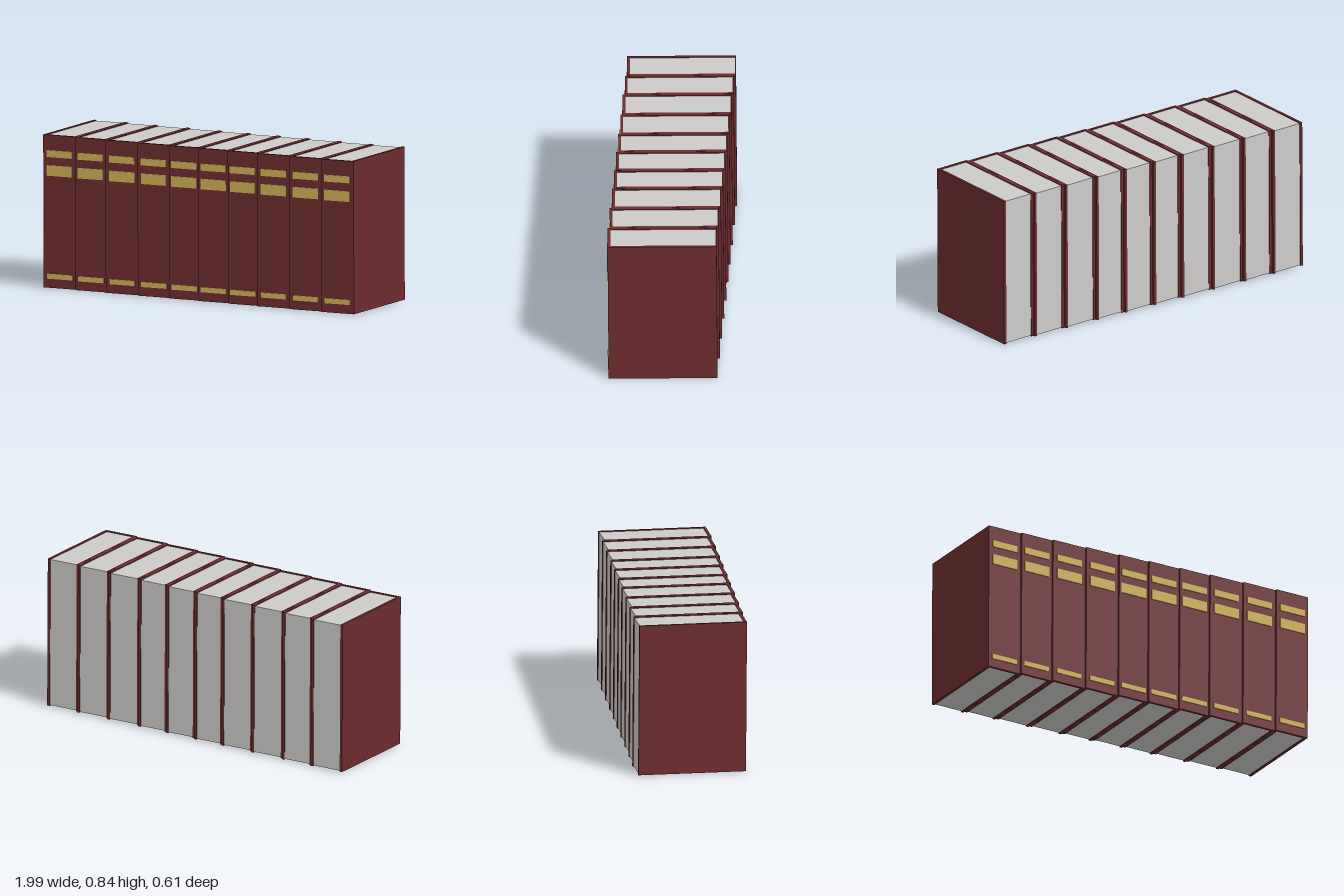
import * as THREE from 'three';

const material = (name, color) => {
  const m = new THREE.MeshStandardMaterial({ color });
  m.name = name;
  return m;
};

const HEIGHT = 0.834, DEPTH = 0.588, COVER = 0.015, RECESS = 0.004;
const YAW = 0.062, PITCH = 0.007;

// Where the spines meet along the front of the row
const SEAMS = [-0.965, -0.764, -0.573, -0.37, -0.17, 0.012, 0.2, 0.384, 0.587, 0.788, 0.988];

// Gilt bands on a spine: [centre height, band height]
const BANDS = [[0.735, 0.038], [0.643, 0.058], [0.066, 0.028]];

export function createModel() {
  const leather = material('dark red leather', 0x6d2c2f);
  const paper = material('paper', 0xcccbc9);
  const gilt = material('gilt', 0xcdb056);

  const box = (parent, name, mat, size, pos) => {
    const mesh = new THREE.Mesh(new THREE.BoxGeometry(...size), mat);
    mesh.name = name;
    mesh.position.set(...pos);
    parent.add(mesh);
  };

  // One upright book, centred on its own origin
  const makeBook = (width) => {
    const book = new THREE.Group();
    const side = (width - COVER) / 2;
    box(book, 'leftCover', leather, [COVER, HEIGHT, DEPTH], [side, 0, 0]);
    box(book, 'rightCover', leather, [COVER, HEIGHT, DEPTH], [-side, 0, 0]);
    box(book, 'spine', leather, [width - 2 * COVER, HEIGHT, COVER], [0, 0, (DEPTH - COVER) / 2]);
    box(book, 'pages', paper,
      [width - 2 * COVER, HEIGHT - 2 * RECESS, DEPTH - COVER - RECESS],
      [0, 0, (RECESS - COVER) / 2]);
    for (const [y, h] of BANDS) {
      box(book, 'spineBand', gilt, [0.155, h, 0.006], [0, y - 0.42, DEPTH / 2 + 0.001]);
    }
    return book;
  };

  const model = new THREE.Group();
  model.name = 'bookRow';
  for (let i = 0; i < SEAMS.length - 1; i++) {
    const book = makeBook(SEAMS[i + 1] - SEAMS[i] - 0.001);
    book.name = `book${i + 1}`;
    // Every book is turned a little, so its centre sits left of its spine
    book.position.set((SEAMS[i] + SEAMS[i + 1]) / 2 - Math.sin(YAW) * DEPTH / 2, 0.4205, -0.001);
    book.rotation.set(PITCH, YAW, 0);
    model.add(book);
  }
  return model;
}
